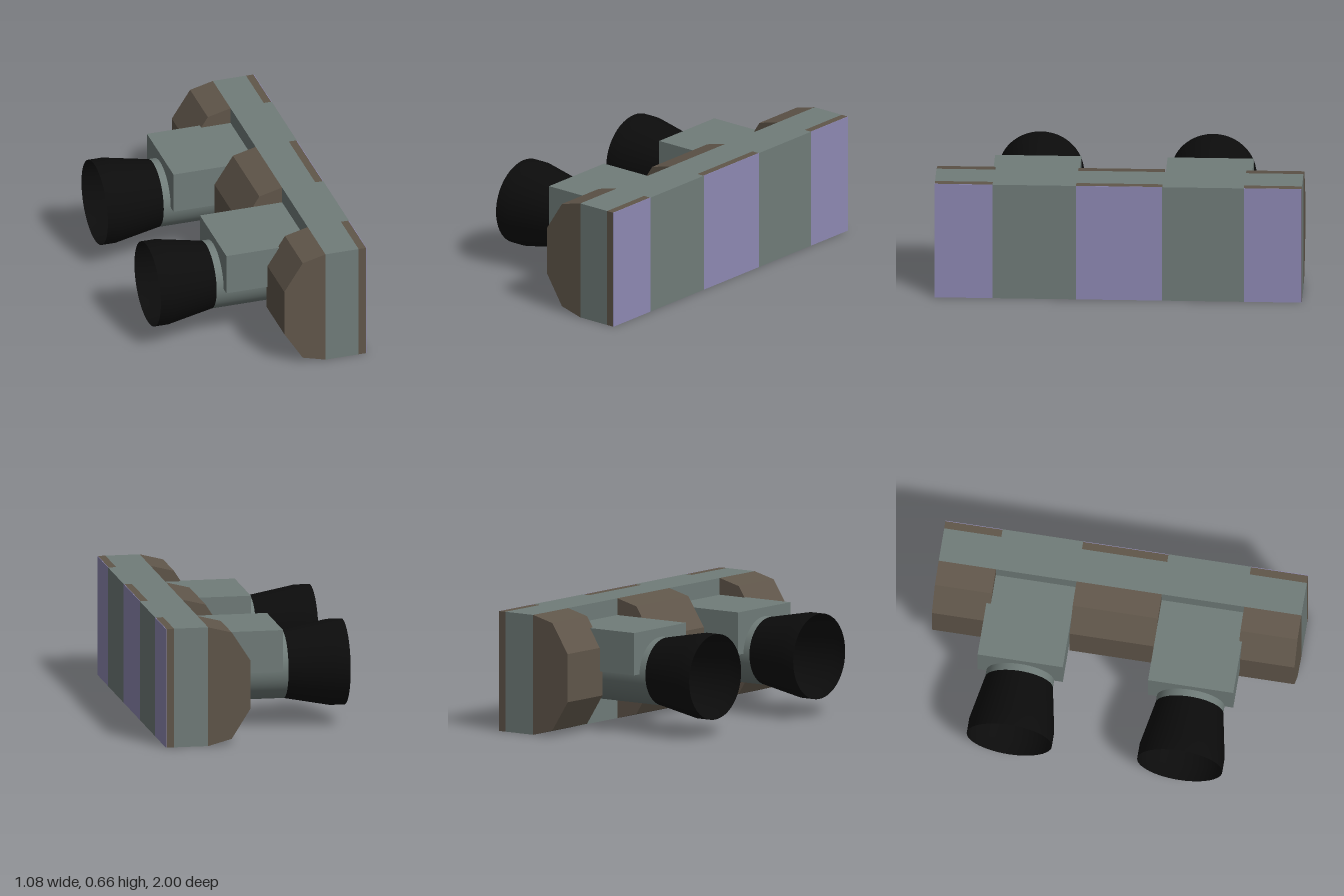
import * as THREE from 'three';

export function createModel() {
  const model = new THREE.Group();
  model.name = 'twinThruster';

  const material = (name, color, side = THREE.FrontSide) => {
    const m = new THREE.MeshStandardMaterial({ color, side });
    m.name = name;
    return m;
  };
  const grey = material('hull grey', 0x707c79, THREE.DoubleSide);
  const brown = material('armour brown', 0x60564a);
  const purple = material('panel purple', 0x8e89b3);
  const black = material('nozzle black', 0x0c0c0c, THREE.DoubleSide);

  const add = (parent, name, geometry, mat) => {
    const mesh = new THREE.Mesh(geometry, mat);
    mesh.name = name;
    parent.add(mesh);
    return mesh;
  };
  // Box given by its minimum and maximum on each axis
  const addBox = (parent, name, mat, [x0, x1], [y0, y1], [z0, z1]) => {
    const geometry = new THREE.BoxGeometry(x1 - x0, y1 - y0, z1 - z0);
    add(parent, name, geometry, mat)
      .position.set((x0 + x1) / 2, (y0 + y1) / 2, (z0 + z1) / 2);
  };

  const height = 0.66;
  const tall = [0, height];

  // Long mounting slab
  addBox(model, 'mountingSlab', grey, [0.305, 0.495], tall, [-1, 1]);

  // Chamfered armour blocks with a rear strip and a coloured panel
  const profile = new THREE.Shape([
    [0.305, 0], [0.305, height], [0.175, 0.627], [0.07, 0.465], [0.07, 0.2], [0.175, 0.035],
  ].map(([x, y]) => new THREE.Vector2(x, y)));
  for (const [z0, z1] of [[-1, -0.685], [-0.24, 0.23], [0.685, 1]]) {
    const block = new THREE.Group();
    block.name = 'armourBlock';
    model.add(block);
    const geometry = new THREE.ExtrudeGeometry(profile, { depth: z1 - z0, bevelEnabled: false });
    add(block, 'chamferedArmour', geometry, brown).position.z = z0;
    addBox(block, 'armourStrip', brown, [0.495, 0.537], tall, [z0, z1]);
    addBox(block, 'endPanel', purple, [0.537, 0.54], tall, [z0, z1]);
  }

  // Slab filling between the armour strips
  for (const z of [[-0.685, -0.24], [0.23, 0.685]]) {
    addBox(model, 'slabFiller', grey, [0.495, 0.54], tall, z);
  }

  // Two engines: housing, hollow barrel and flared open nozzle, along -x
  for (const z of [-0.475, 0.465]) {
    const engine = new THREE.Group();
    engine.name = 'engine';
    engine.position.z = z;
    model.add(engine);
    addBox(engine, 'engineHousing', grey, [-0.165, 0.305], [0.335, 0.568], [-0.235, 0.235]);

    const addTube = (name, mat, points) => {
      const geometry = new THREE.LatheGeometry(points.map(([r, d]) => new THREE.Vector2(r, d)), 48);
      const tube = add(engine, name, geometry, mat);
      tube.rotation.z = Math.PI / 2;
      tube.position.y = 0.332;
    };
    addTube('engineBarrel', grey, [[0.187, -0.305], [0.187, 0.205]]);
    addTube('engineNozzle', black, [[0.187, 0.205], [0.235, 0.46], [0.235, 0.54]]);
  }

  return model;
}
